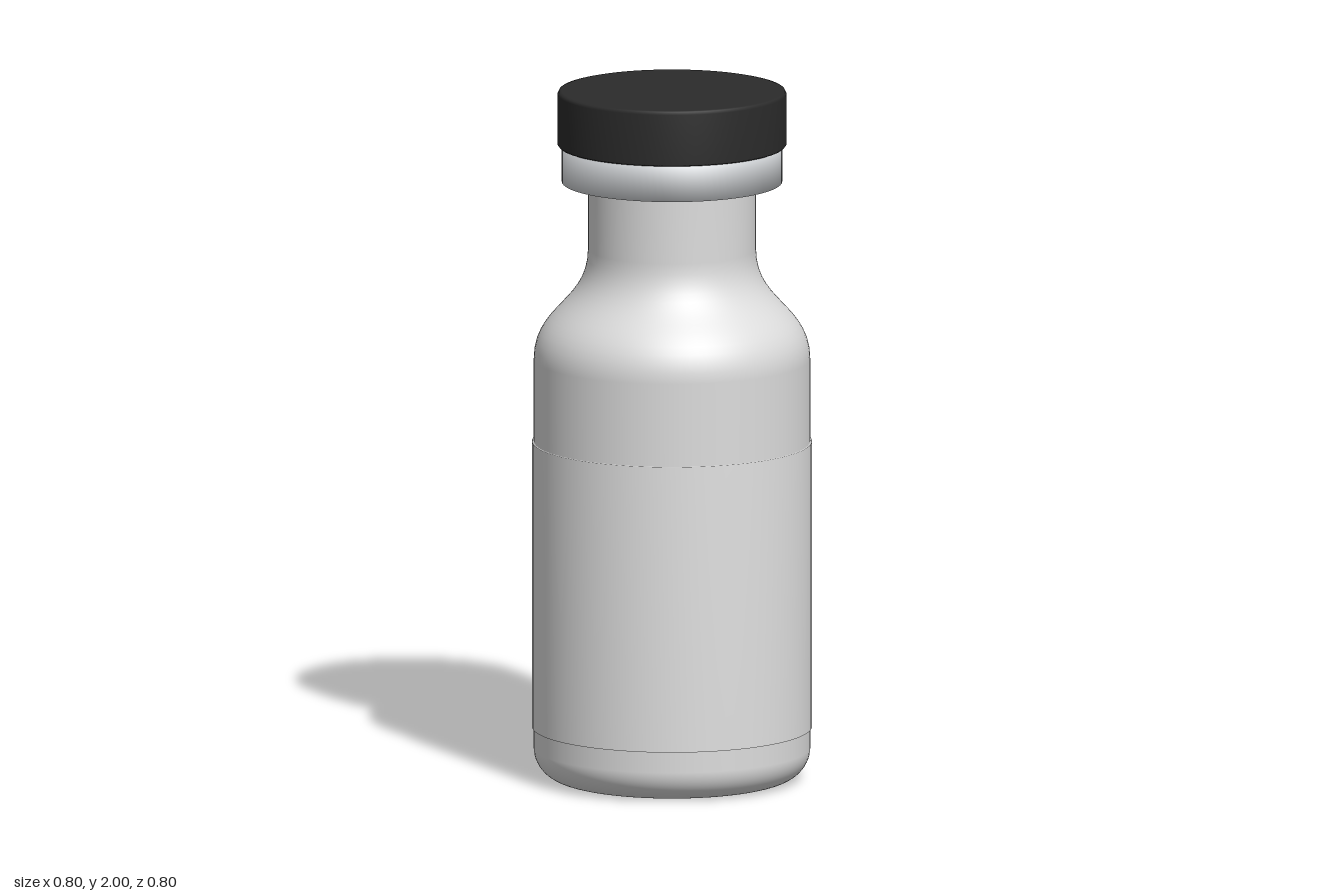
import * as THREE from 'three';

const material = (name, color) => {
  const m = new THREE.MeshStandardMaterial({ color });
  m.name = name;
  return m;
};

export function createModel() {
  const group = new THREE.Group();
  group.name = 'vial';
  const glass = material('pale glass', 0xdcdcdc);
  const paper = material('label white', 0xe0e0e0);
  const metal = material('collar grey', 0xd4d7da);
  const rubber = material('cap black', 0x2b2b2b);

  // Every part is turned around the vertical axis, its profile running upwards
  const turn = (name, points, mat) => {
    const profile = points.map(([x, y]) => new THREE.Vector2(x, y));
    const mesh = new THREE.Mesh(new THREE.LatheGeometry(profile, 96), mat);
    mesh.name = name;
    group.add(mesh);
  };

  // Bottle: flat base, rounded heel, straight wall, curved shoulder, neck
  const outline = new THREE.Path();
  outline.moveTo(0, 0);
  outline.lineTo(0.305, 0);
  outline.absarc(0.305, 0.09, 0.09, -Math.PI / 2, 0, false);
  outline.lineTo(0.395, 1.22);
  outline.bezierCurveTo(0.395, 1.37, 0.24, 1.38, 0.24, 1.54);
  outline.lineTo(0.24, 1.76);
  turn('bottle', outline.getPoints(14).map((p) => [p.x, p.y]), glass);

  // Wrapped label, a thin sleeve with softened rims
  turn('label', [[0.394, 0.15], [0.4, 0.15], [0.4, 0.98], [0.394, 0.98]], paper);

  // Collar under the cap
  turn('collar', [[0.235, 1.735], [0.315, 1.735], [0.315, 1.845], [0.235, 1.845]], metal);

  // Cap: a solid disc with a barely eased rim
  turn('cap', [
    [0, 1.84], [0.323, 1.84], [0.327, 1.845],
    [0.327, 1.99], [0.323, 1.998], [0.315, 2], [0, 2],
  ], rubber);

  return group;
}
